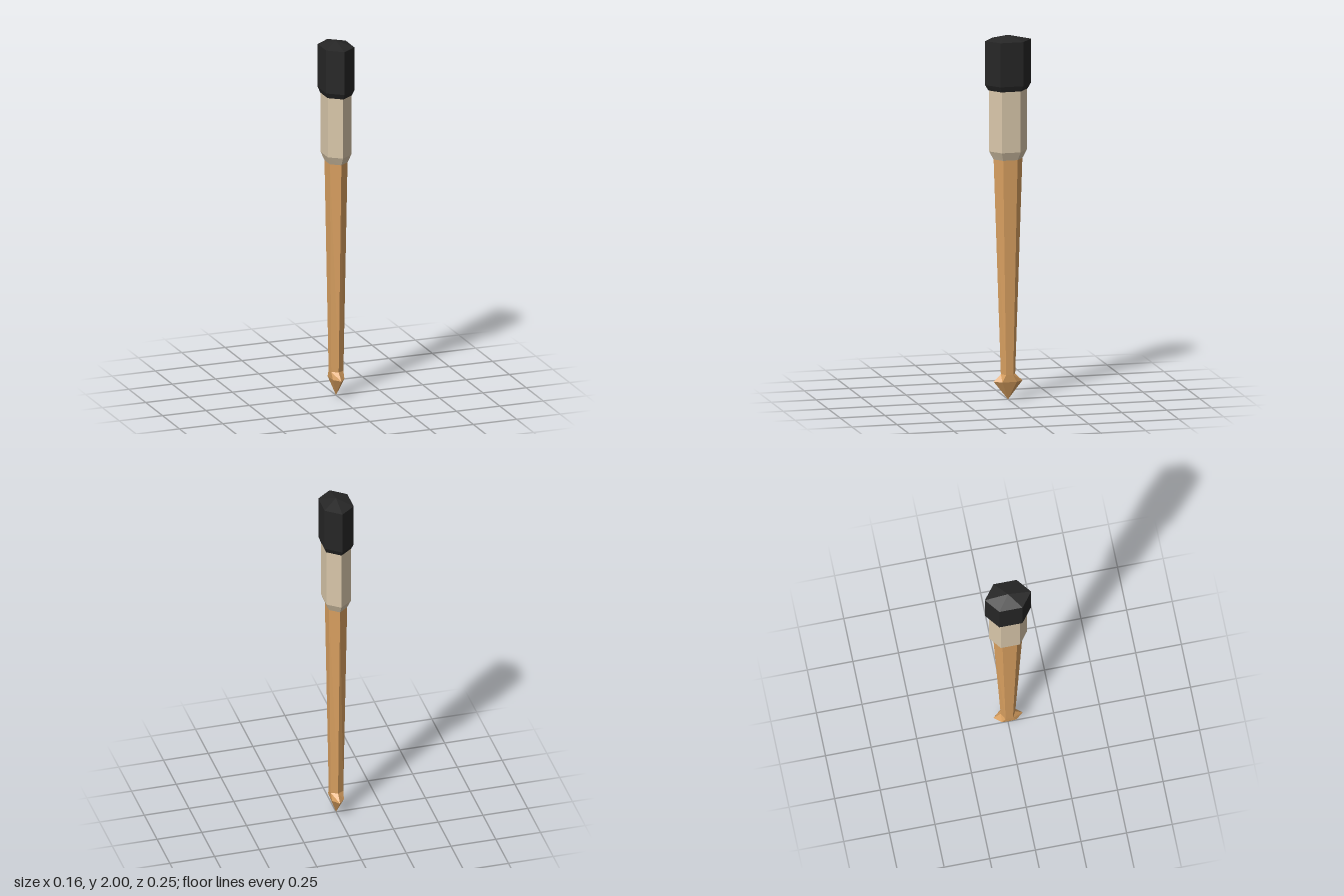
import * as THREE from 'three';

// Six-sided loft with corners on +z and -z; rings run upward as [y, halfWidthX, halfDepthZ]
function hexLoft(name, color, rings) {
  const profile = rings.map(([y, , hz]) => new THREE.Vector2(hz, y));
  const geometry = new THREE.LatheGeometry(profile, 6);
  const pos = geometry.attributes.position;
  for (let i = 0; i < pos.count; i++) {
    const [, hx, hz] = rings[i % rings.length];
    if (hz > 0) pos.setX(i, pos.getX(i) * hx / (hz * Math.sin(Math.PI / 3)));
  }
  geometry.computeVertexNormals();
  const mesh = new THREE.Mesh(geometry, new THREE.MeshStandardMaterial({ color, flatShading: true }));
  mesh.name = name;
  return mesh;
}

export function createModel() {
  const brush = new THREE.Group();
  brush.name = 'paintbrush';

  // Tapered wooden handle with a flared, pointed end
  brush.add(hexLoft('handle', 0xd9a060, [
    [0, 0, 0], [0.1, 0.033, 0.08], [0.14, 0.035, 0.04], [1.32, 0.051, 0.08], [1.32, 0, 0],
  ]));

  // Metal collar, narrowing to meet the handle
  brush.add(hexLoft('ferrule', 0xd9c7aa, [
    [1.32, 0, 0], [1.32, 0.051, 0.08], [1.365, 0.068, 0.105], [1.7, 0.068, 0.105], [1.7, 0, 0],
  ]));

  // Bristle block with a bevelled base and a shallow peak
  brush.add(hexLoft('bristles', 0x262626, [
    [1.7, 0, 0], [1.7, 0.07, 0.109], [1.73, 0.081, 0.127], [1.972, 0.081, 0.127], [2, 0, 0],
  ]));

  return brush;
}
